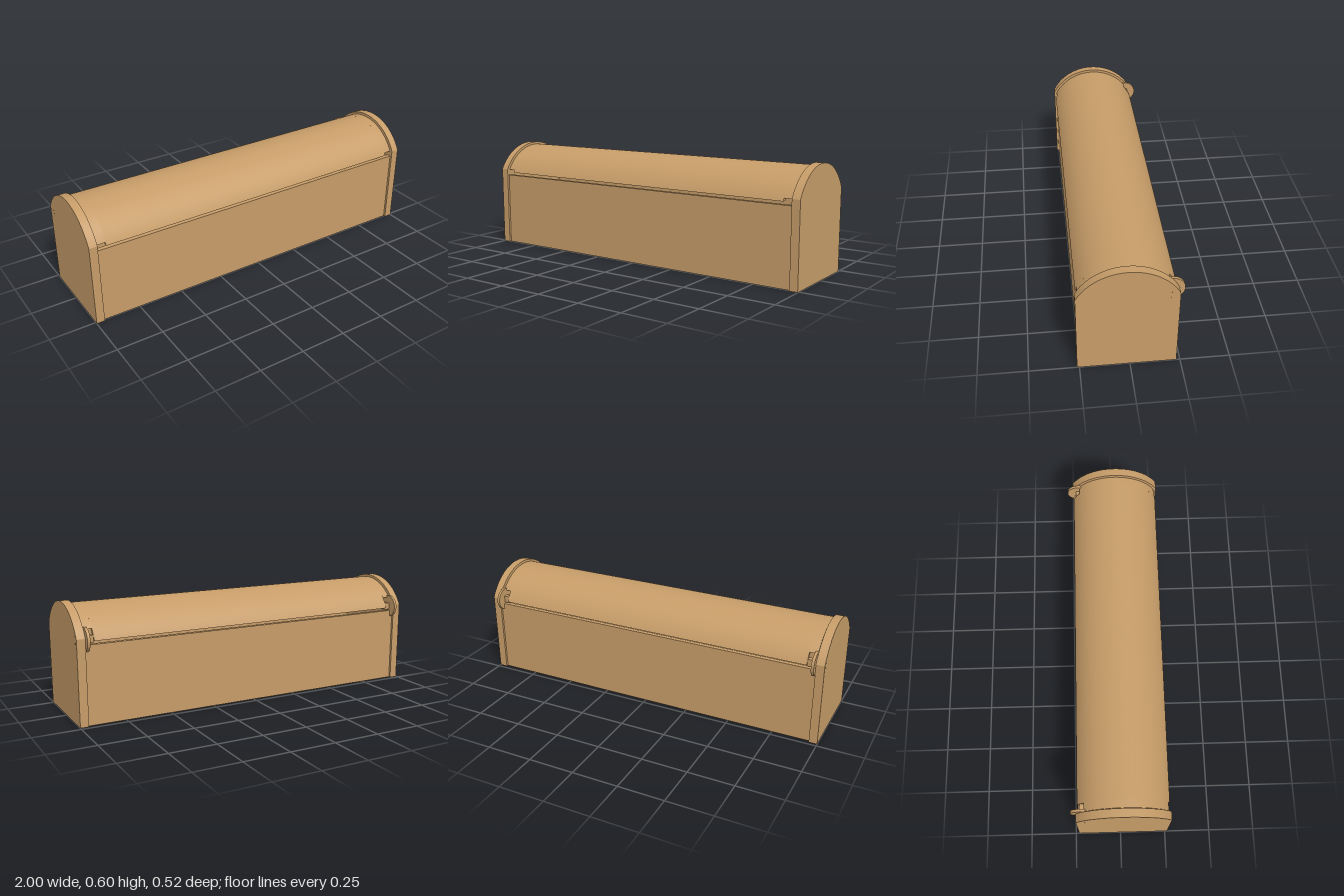
import * as THREE from 'three';
import { toCreasedNormals } from 'three/addons/utils/BufferGeometryUtils.js';

// Shared centre of the end-panel and lid arcs, in (z, y)
const CZ = 0.015, CY = 0.3255;

export function createModel() {
  const model = new THREE.Group();
  model.name = 'domedBox';
  const wood = new THREE.MeshStandardMaterial({ color: 0xc69c68 });
  wood.name = 'wood';

  const add = (name, geometry) => {
    const mesh = new THREE.Mesh(geometry, wood);
    mesh.name = name;
    model.add(mesh);
    return mesh;
  };
  const box = (name, x0, x1, y0, y1, z0, z1) => {
    add(name, new THREE.BoxGeometry(x1 - x0, y1 - y0, z1 - z0))
      .position.set((x0 + x1) / 2, (y0 + y1) / 2, (z0 + z1) / 2);
  };
  // Extrude a cross-section of (-z, y) points along x
  const extrudeX = (name, points, x0, x1) => {
    const shape = new THREE.Shape(points);
    const geometry = new THREE.ExtrudeGeometry(shape, { depth: x1 - x0, bevelEnabled: false });
    geometry.rotateY(Math.PI / 2).translate(x0, 0, 0);
    add(name, toCreasedNormals(geometry, 0.4));
  };
  // Arc points over the top from the front edge to the back edge
  const arc = (r, yFront, yBack, n = 48) => {
    const a0 = Math.PI - Math.asin((yFront - CY) / r);
    const a1 = Math.asin((yBack - CY) / r);
    return Array.from({ length: n + 1 }, (_, i) => {
      const a = a0 + (a1 - a0) * i / n;
      return new THREE.Vector2(-CZ + r * Math.cos(a), CY + r * Math.sin(a));
    });
  };

  // Domed end panels
  const panel = [new THREE.Vector2(-0.262, 0), ...arc(0.2775, 0.452, 0.452), new THREE.Vector2(0.232, 0)];
  extrudeX('leftEndPanel', panel, 0.955, 1);
  extrudeX('rightEndPanel', panel, -1, -0.955);

  // Open-topped trough
  box('floor', -0.955, 0.955, 0, 0.025, -0.22, 0.25);
  box('frontWall', -0.955, 0.955, 0, 0.417, 0.225, 0.25);
  box('backWall', -0.955, 0.955, 0, 0.417, -0.22, -0.195);

  // Curved lid shell, cut back at the corners
  const lid = (name, yFront, yBack, x0, x1) => extrudeX(name,
    [...arc(0.2645, yFront, yBack), ...arc(0.245, yFront, yBack).reverse()], x0, x1);
  lid('lid', 0.435, 0.435, -0.907, 0.907);
  lid('lidLeftEnd', 0.45, 0.492, 0.907, 0.951);
  lid('lidRightEnd', 0.45, 0.492, -0.951, -0.907);

  // Hinge discs and their square pins
  for (const side of [1, -1]) {
    const disc = add('hingeDisc', new THREE.CylinderGeometry(0.062, 0.062, 0.015, 40));
    disc.rotation.z = Math.PI / 2;
    disc.position.set(side * 0.946, 0.442, -0.2);
    const pin = add('hingePin', new THREE.BoxGeometry(0.0955, 0.038, 0.026));
    pin.position.set(side * 0.9527, 0.443, -0.199);
  }

  return model;
}
